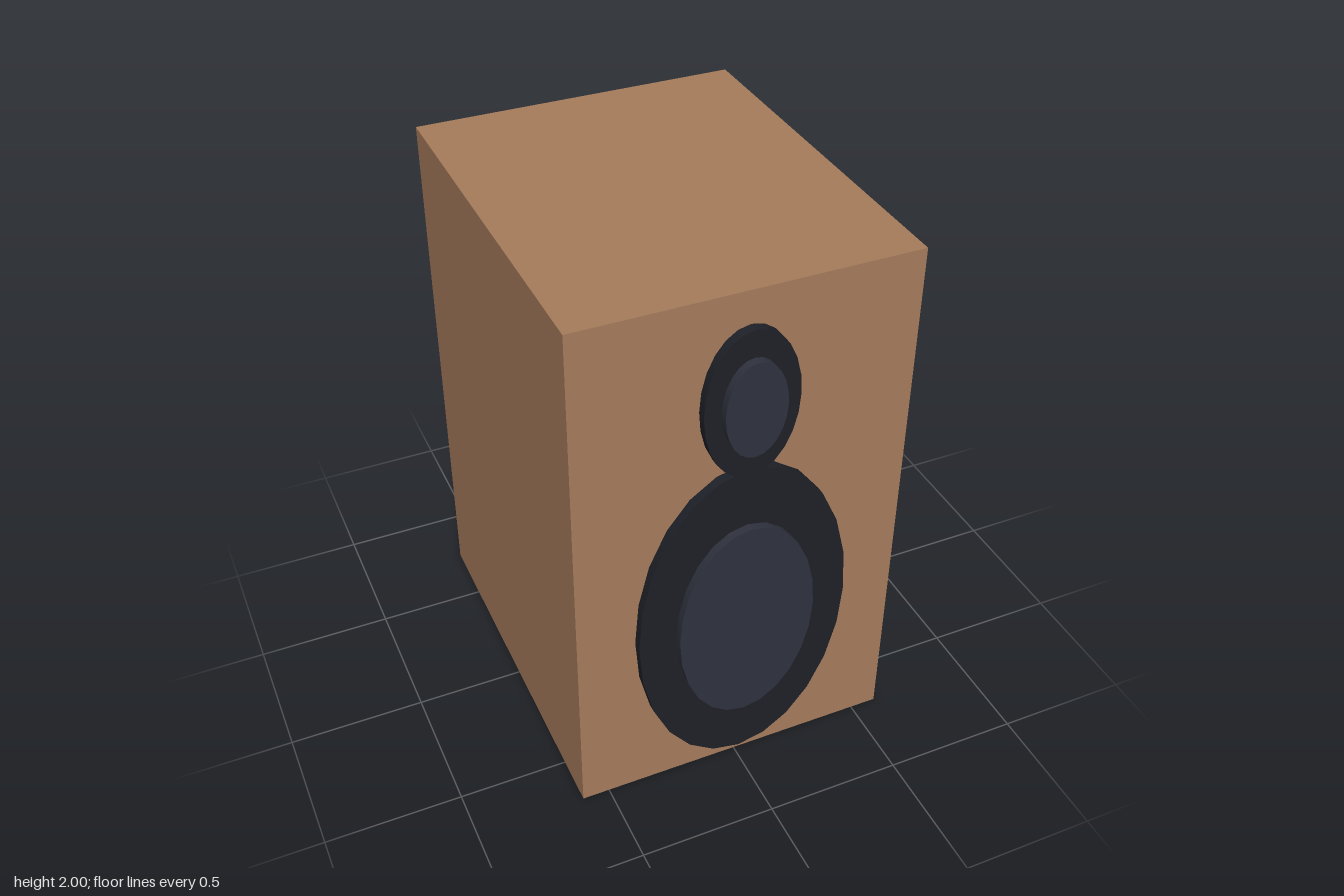
import * as THREE from 'three';

const wood = new THREE.MeshStandardMaterial({ color: 0xa67c5c });
const rubber = new THREE.MeshStandardMaterial({ color: 0x1e2128 });
const cone = new THREE.MeshStandardMaterial({ color: 0x2f323e });

const BAFFLE = 0.685; // z of the cabinet's front face

// Elliptical disc facing +z, from the baffle to the given front z
function disc(name, y, rx, ry, front, material) {
  const depth = front - BAFFLE + 0.01;
  const geometry = new THREE.CylinderGeometry(1, 1, depth, 24);
  geometry.rotateX(Math.PI / 2);
  geometry.scale(rx, ry, 1);
  const mesh = new THREE.Mesh(geometry, material);
  mesh.name = name;
  mesh.position.set(0, y, front - depth / 2);
  return mesh;
}

export function createModel() {
  const model = new THREE.Group();
  model.name = 'speaker';

  // Wooden cabinet
  const cabinet = new THREE.Mesh(new THREE.BoxGeometry(1.2, 2, BAFFLE + 0.75), wood);
  cabinet.name = 'cabinet';
  cabinet.position.set(0, 1, (BAFFLE - 0.75) / 2);
  model.add(cabinet);

  // Drivers: a wide surround with a raised cone in the middle
  const drivers = [
    { name: 'woofer', y: 0.7, outer: [0.39, 0.648], inner: [0.253, 0.42] },
    { name: 'tweeter', y: 1.6, outer: [0.168, 0.28], inner: [0.108, 0.18] },
  ];
  for (const { name, y, outer, inner } of drivers) {
    const driver = new THREE.Group();
    driver.name = name;
    driver.add(disc(name + 'Surround', y, ...outer, 0.72, rubber));
    driver.add(disc(name + 'Cone', y, ...inner, 0.75, cone));
    model.add(driver);
  }
  return model;
}
